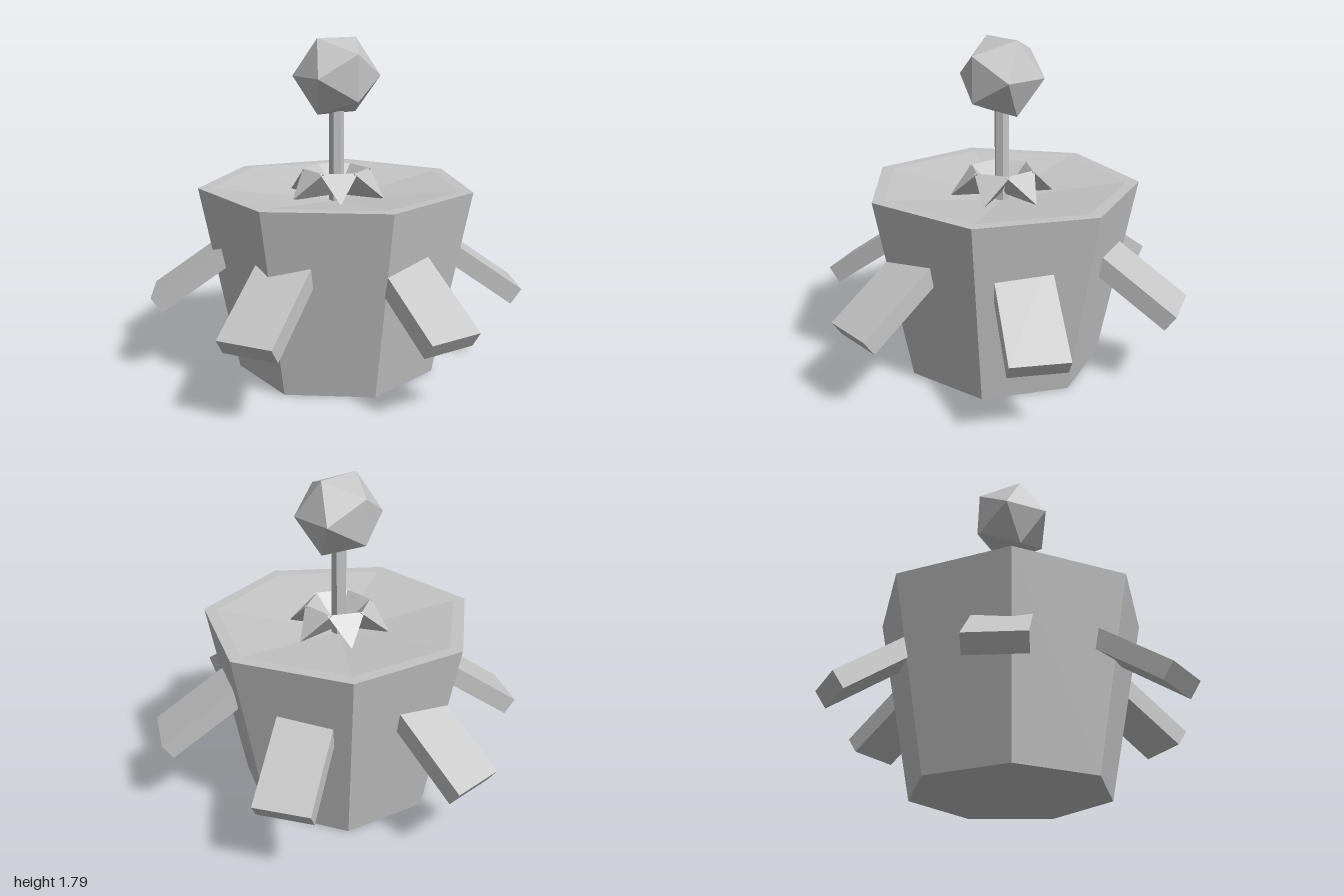
import * as THREE from 'three';

const grey = new THREE.MeshStandardMaterial({ color: 0xc4c4c4, flatShading: true });
grey.name = 'plain grey';

function part(name, geometry) {
  const flat = geometry.index ? geometry.toNonIndexed() : geometry;
  flat.computeVertexNormals();
  const mesh = new THREE.Mesh(flat, grey);
  mesh.name = name;
  return mesh;
}

// Six copies of one part spread around the vertical axis
function ring(name, makeGeometry) {
  const group = new THREE.Group();
  group.name = name + 'Ring';
  for (let i = 0; i < 6; i++) {
    const mesh = part(name, makeGeometry());
    mesh.rotation.y = (i * Math.PI) / 3;
    group.add(mesh);
  }
  return group;
}

export function createModel() {
  const model = new THREE.Group();
  model.name = 'pottedBud';

  // Seven-sided pot with a thin flat rim and a shallow dished top
  const profile = [[0, 0], [0.54, 0], [0.74, 1.012], [0.67, 1.012], [0, 0.92]]
    .map(([r, y]) => new THREE.Vector2(r, y));
  model.add(part('pot', new THREE.LatheGeometry(profile, 7, Math.PI / 2)));

  // Flat arms sloping down and out of the pot walls
  model.add(ring('arm', () => new THREE.BoxGeometry(0.3, 0.1, 0.6)
    .translate(0, -0.05, -0.3)
    .rotateX(THREE.MathUtils.degToRad(35))
    .translate(0, 0.44, 1)));

  // Crown of wedge-shaped spikes at the foot of the stem
  model.add(ring('crownSpike', () => new THREE.TetrahedronGeometry(Math.sqrt(3))
    .rotateY(-Math.PI / 4)
    .scale(0.13 / Math.SQRT2, 0.07, 0.1 / Math.SQRT2)
    .translate(0.15, 1.027, 0)));

  // Stem and faceted bud
  model.add(part('stem', new THREE.CylinderGeometry(0.04, 0.04, 0.56, 6).translate(0, 1.18, 0)));
  model.add(part('bud', new THREE.IcosahedronGeometry(0.232, 0).translate(0, 1.594, 0)));

  return model;
}
